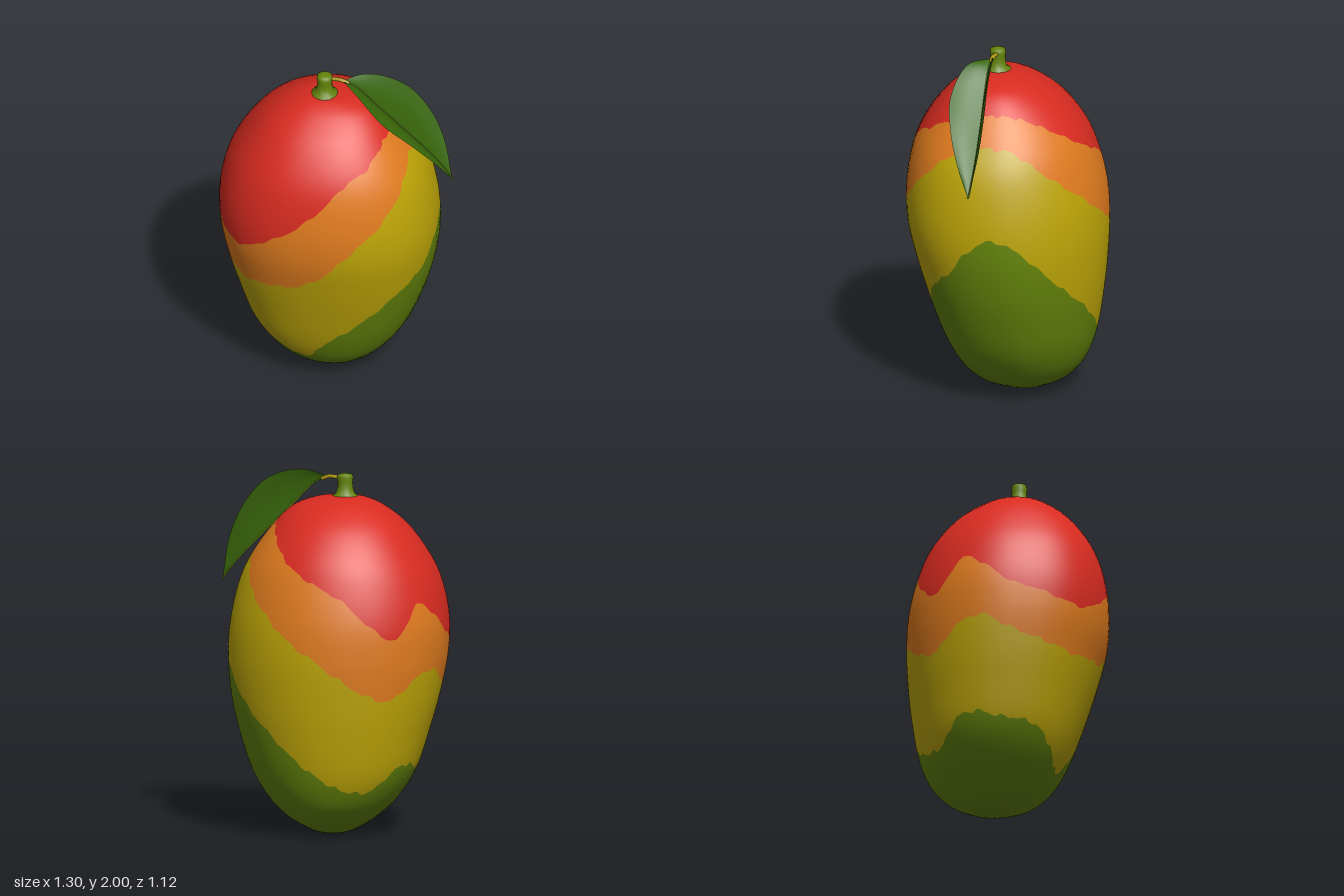
import * as THREE from 'three';

const mat = (name, color, side = THREE.FrontSide) => {
  const m = new THREE.MeshStandardMaterial({ color, side });
  m.name = name;
  return m;
};

// Fruit cross-sections from bottom to top: y, xMin, xMax, zMin, zMax
const SECTIONS = [
  [0, -0.035, -0.035, -0.1, -0.1], [0.012, -0.125, 0.06, -0.195, 0.005],
  [0.05, -0.205, 0.145, -0.28, 0.115], [0.1, -0.28, 0.225, -0.36, 0.195],
  [0.2, -0.385, 0.325, -0.44, 0.28], [0.36, -0.485, 0.425, -0.497, 0.358],
  [0.6, -0.56, 0.51, -0.535, 0.44], [0.8, -0.61, 0.555, -0.553, 0.5],
  [1.0, -0.643, 0.573, -0.56, 0.55], [1.2, -0.645, 0.557, -0.545, 0.56],
  [1.4, -0.6, 0.51, -0.495, 0.53], [1.55, -0.525, 0.437, -0.43, 0.473],
  [1.7, -0.413, 0.328, -0.313, 0.368], [1.8, -0.29, 0.225, -0.178, 0.252],
  [1.845, -0.19, 0.11, -0.07, 0.17], [1.857, -0.12, 0.01, 0.01, 0.11],
  [1.845, -0.06, -0.06, 0.06, 0.06],
];
const LAST = SECTIONS.length - 1;

// Extra roundness of each quarter, from +x round through +z
const FULLNESS = [0.035, 0.05, 0.005, -0.015];

// Heights of the colour borders every 15 degrees, from +x round through +z
const GREEN_TOP = [1.08, 1.0, 0.84, 0.74, 0.6, 0.46, 0.34, 0.2, 0.21, 0.28, 0.35, 0.37,
  0.38, 0.41, 0.39, 0.28, 0.27, 0.3, 0.37, 0.47, 0.6, 0.72, 0.86, 1.01];
const YELLOW_TOP = [1.57, 1.56, 1.5, 1.38, 1.24, 1.1, 0.93, 0.83, 0.8, 0.77, 0.79, 0.82,
  0.87, 0.94, 0.9, 0.79, 0.82, 0.91, 1.02, 1.12, 1.24, 1.35, 1.46, 1.55];
const ORANGE_TOP = [1.72, 1.71, 1.69, 1.65, 1.58, 1.52, 1.38, 1.24, 1.13, 1.04, 1.05, 1.09,
  1.13, 1.24, 1.31, 1.13, 1.2, 1.34, 1.42, 1.49, 1.57, 1.64, 1.69, 1.715];

function cubic(a, b, c, d, t) {
  return b + 0.5 * t * (c - a + t * (2 * a - 5 * b + 4 * c - d + t * (3 * (b - c) + d - a)));
}

// Sections continue mirrored past the poles, so both ends are smooth domes
function sectionAt(k) {
  if (k >= 0 && k <= LAST) return SECTIONS[k];
  const [y, x0, x1, z0, z1] = SECTIONS[k < 0 ? -k : 2 * LAST - k];
  return [y, x1, x0, z1, z0];
}

function section(s) {
  const i = Math.min(Math.floor(s), LAST - 1);
  const [a, b, c, d] = [i - 1, i, i + 1, i + 2].map(sectionAt);
  return a.map((_, j) => cubic(a[j], b[j], c[j], d[j], s - i));
}

function skin(a, s) {
  const [y, x0, x1, z0, z1] = section(s);
  const quarter = (Math.floor(a / (Math.PI / 2)) + 4) % 4;
  const full = 1 + FULLNESS[quarter] * Math.sin(2 * a) ** 2;
  return new THREE.Vector3((x0 + x1) / 2 + (x1 - x0) / 2 * full * Math.cos(a), y,
    (z0 + z1) / 2 + (z1 - z0) / 2 * full * Math.sin(a));
}

function skinNormal(a, s) {
  const c = THREE.MathUtils.clamp(s, 0.05, LAST - 0.05), e = 0.01;
  const du = skin(a + e, c).sub(skin(a - e, c));
  const dv = skin(a, c + e).sub(skin(a, c - e));
  return dv.cross(du).normalize();
}

// Section position of a border at angle a, with a slightly ragged edge
function border(table, a, wobble) {
  const n = table.length, f = ((a / (Math.PI * 2)) % 1) * n, i = Math.floor(f);
  const at = (k) => table[(k + n) % n];
  const y = cubic(at(i - 1), at(i), at(i + 1), at(i + 2), f - i)
    + wobble * (Math.sin(23 * a) + 0.7 * Math.sin(41 * a + 1));
  let lo = 0, hi = LAST - 1;
  for (let k = 0; k < 24; k++) {
    const mid = (lo + hi) / 2;
    if (section(mid)[0] < y) lo = mid; else hi = mid;
  }
  return lo;
}

// Grid surface from a point function; normals are optional
function grid(cols, rows, point, normal) {
  const pos = [], nor = [], index = [];
  for (let i = 0; i <= cols; i++) for (let j = 0; j <= rows; j++) {
    pos.push(...point(i / cols, j / rows).toArray());
    if (normal) nor.push(...normal(i / cols, j / rows).toArray());
    if (i < cols && j < rows) {
      const p = i * (rows + 1) + j, q = p + rows + 1;
      index.push(p, p + 1, q, q, p + 1, q + 1);
    }
  }
  const g = new THREE.BufferGeometry();
  g.setAttribute('position', new THREE.Float32BufferAttribute(pos, 3));
  g.setIndex(index);
  if (normal) g.setAttribute('normal', new THREE.Float32BufferAttribute(nor, 3));
  else g.computeVertexNormals();
  return g;
}

export function createModel() {
  const model = new THREE.Group();
  model.name = 'mango';
  const add = (name, geometry, material, parent = model) => {
    const mesh = new THREE.Mesh(geometry, material);
    mesh.name = name;
    parent.add(mesh);
    return mesh;
  };
  const stemGreen = mat('stem green', 0x65840a);
  const leafGreen = mat('leaf green', 0x3a6a0a, THREE.DoubleSide);
  const stalkYellow = mat('stalk yellow', 0xb09a14);

  // Fruit skin, in four ragged colour bands
  const fruit = new THREE.Group();
  fruit.name = 'fruit';
  model.add(fruit);
  const edges = [
    () => 0,
    (a) => border(GREEN_TOP, a, 0.008),
    (a) => border(YELLOW_TOP, a, 0.008),
    (a) => border(ORANGE_TOP, a, 0.006),
    () => LAST,
  ];
  const bands = [
    ['greenSkin', stemGreen, 24],
    ['yellowSkin', mat('skin yellow', 0xbda506), 14],
    ['orangeSkin', mat('skin orange', 0xdf7b1e), 10],
    ['redSkin', mat('skin red', 0xd82b20), 22],
  ];
  bands.forEach(([name, material, rows], b) => {
    const at = (u, v) => {
      const a = u * Math.PI * 2;
      return [a, THREE.MathUtils.lerp(edges[b](a), edges[b + 1](a), v)];
    };
    add(name, grid(120, rows, (u, v) => skin(...at(u, v)), (u, v) => skinNormal(...at(u, v))),
      material, fruit);
  });

  // Stem with a flared foot and a rounded cut end
  const profile = [[0.08, 1.832], [0.074, 1.856], [0.052, 1.868], [0.043, 1.9], [0.041, 1.93],
    [0.045, 1.955], [0.04, 1.972], [0.02, 1.978], [0, 1.978]]
    .map(([r, y]) => new THREE.Vector2(r, y));
  add('stem', new THREE.LatheGeometry(profile, 14), stemGreen).position.set(-0.062, 0, 0.062);

  // Leaf, folded upward along its midrib: one half stands, the other spreads forward
  const curve = (pts) => new THREE.CatmullRomCurve3(pts.map((p) => new THREE.Vector3(...p)));
  const base = [0.04, 1.955, 0.078], tip = [0.65, 1.36, 0.117];
  const midrib = curve([base, [0.12, 1.92, 0.086], [0.22, 1.82, 0.09], [0.36, 1.68, 0.092],
    [0.5, 1.54, 0.097], [0.6, 1.43, 0.107], tip]);
  const frontEdge = curve([base, [0.13, 1.945, 0.2], [0.28, 1.81, 0.272], [0.43, 1.67, 0.25],
    [0.56, 1.51, 0.19], tip]);
  const backEdge = curve([base, [0.14, 1.992, 0.058], [0.26, 1.988, 0.05], [0.4, 1.925, 0.048],
    [0.52, 1.78, 0.05], [0.6, 1.6, 0.068], tip]);
  const half = (edge, bulge) => (u, v) => {
    const p = midrib.getPoint(u).lerp(edge.getPoint(u), v);
    return p.addScaledVector(bulge, Math.sin(Math.PI * v) * Math.sin(Math.PI * u));
  };
  const leaf = new THREE.Group();
  leaf.name = 'leaf';
  model.add(leaf);
  const frontHalf = half(frontEdge, new THREE.Vector3(0.008, 0.008, 0));
  const backHalf = half(backEdge, new THREE.Vector3(0, 0, 0.008));
  add('leafFrontHalf', grid(28, 6, (u, v) => frontHalf(u, 1 - v)), leafGreen, leaf);
  add('leafBackHalf', grid(28, 6, backHalf), leafGreen, leaf);
  add('midrib', new THREE.TubeGeometry(midrib, 28, 0.005, 6), stemGreen, leaf);

  // Thin stalk joining the leaf to the stem
  const stalk = curve([[-0.045, 1.95, 0.063], [0, 1.957, 0.068], [0.04, 1.956, 0.078],
    [0.075, 1.942, 0.082]]);
  add('leafStalk', new THREE.TubeGeometry(stalk, 10, 0.011, 8), stalkYellow);

  return model;
}
